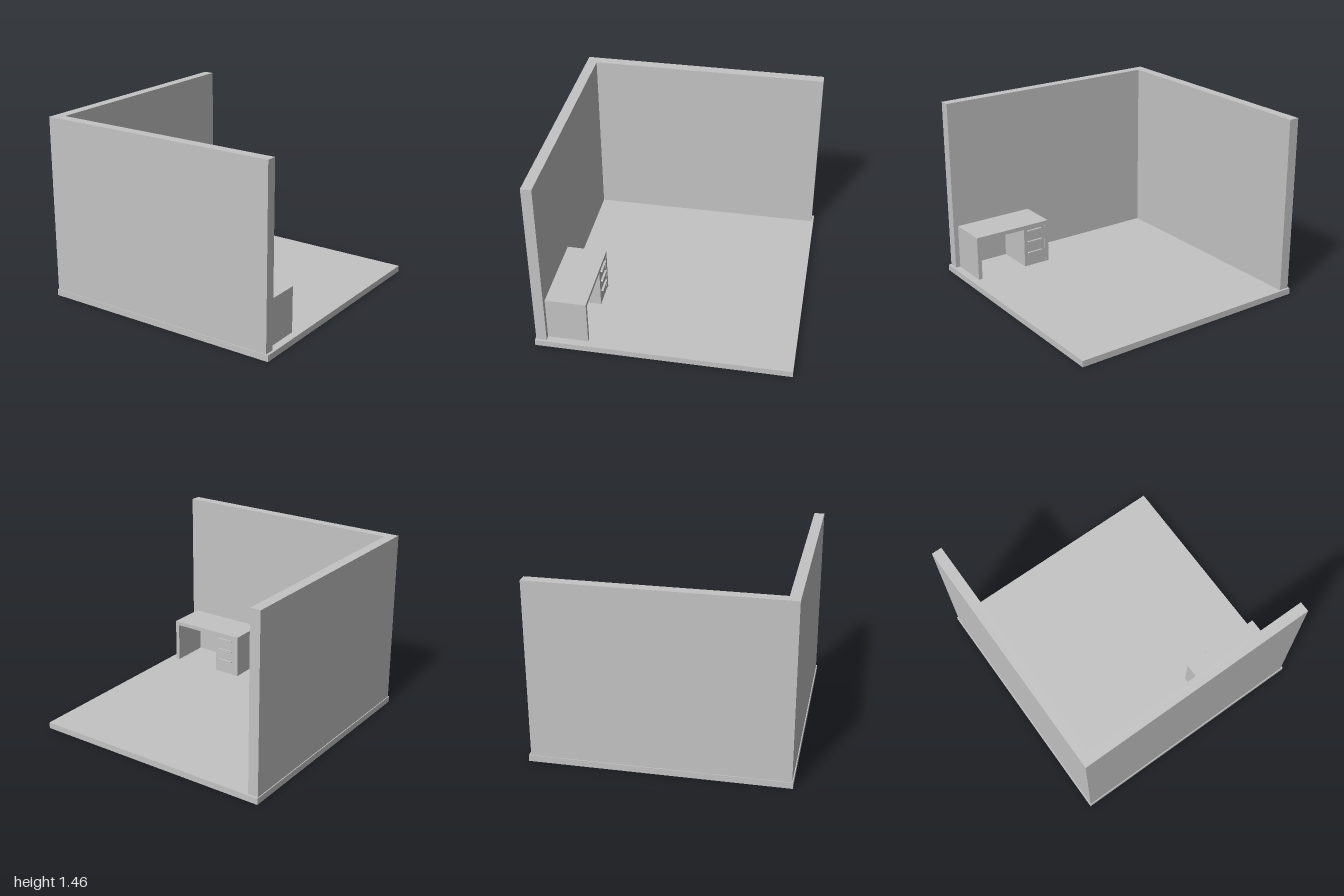
import * as THREE from 'three';

const plaster = new THREE.MeshStandardMaterial({ color: 0xc4c4c4 });
plaster.name = 'light grey';

function addMesh(parent, name, geometry) {
  const mesh = new THREE.Mesh(geometry, plaster);
  mesh.name = name;
  parent.add(mesh);
  return mesh;
}

// Box given by its two opposite corners
function addBox(parent, name, [x0, y0, z0], [x1, y1, z1]) {
  const mesh = addMesh(parent, name, new THREE.BoxGeometry(x1 - x0, y1 - y0, z1 - z0));
  mesh.position.set((x0 + x1) / 2, (y0 + y1) / 2, (z0 + z1) / 2);
  return mesh;
}

function extrude(points, depth) {
  const shape = new THREE.Shape(points.map(([x, y]) => new THREE.Vector2(x, y)));
  return new THREE.ExtrudeGeometry(shape, { depth, bevelEnabled: false });
}

export function createModel() {
  const room = new THREE.Group();
  room.name = 'room';

  // Floor slab
  const floorTop = 0.05;
  addBox(room, 'floor', [-1, 0, -1], [1, floorTop, 1]);

  // L-shaped pair of walls, drawn in plan (x, -z) and raised
  const plan = [[-0.993, -0.993], [0.98, -0.993], [0.98, -0.91], [-0.91, -0.91], [-0.91, 0.983], [-0.993, 0.983]];
  const walls = addMesh(room, 'walls', extrude(plan, 1.463 - floorTop));
  walls.rotation.x = -Math.PI / 2;
  walls.position.y = floorTop;

  // Desk against the front wall
  const desk = new THREE.Group();
  desk.name = 'desk';
  room.add(desk);
  const [left, right, top, back, front, t] = [0.27, 0.94, 0.415, 0.91, 0.59, 0.033];

  // Top and two side panels as one arch
  const arch = [
    [left, floorTop], [left + t, floorTop], [left + t, top - t], [right - t, top - t],
    [right - t, floorTop], [right, floorTop], [right, top], [left, top],
  ];
  addMesh(desk, 'deskFrame', extrude(arch, back - front)).position.z = front;

  // Drawer cabinet beside one side panel
  addBox(desk, 'drawerCabinet', [left + t, floorTop, front + 0.004], [0.5, top - t, back]);

  // Pill-shaped drawer handles
  const r = 0.007, half = 0.07 - r;
  const pill = new THREE.Shape();
  pill.absarc(half, 0, r, -Math.PI / 2, Math.PI / 2, false);
  pill.absarc(-half, 0, r, Math.PI / 2, Math.PI * 1.5, false);
  const handle = new THREE.ExtrudeGeometry(pill, { depth: 0.018, bevelEnabled: false, curveSegments: 8 });
  for (const y of [0.361, 0.264, 0.165]) {
    addMesh(desk, 'drawerHandle', handle).position.set(0.4, y, 0.577);
  }

  return room;
}
